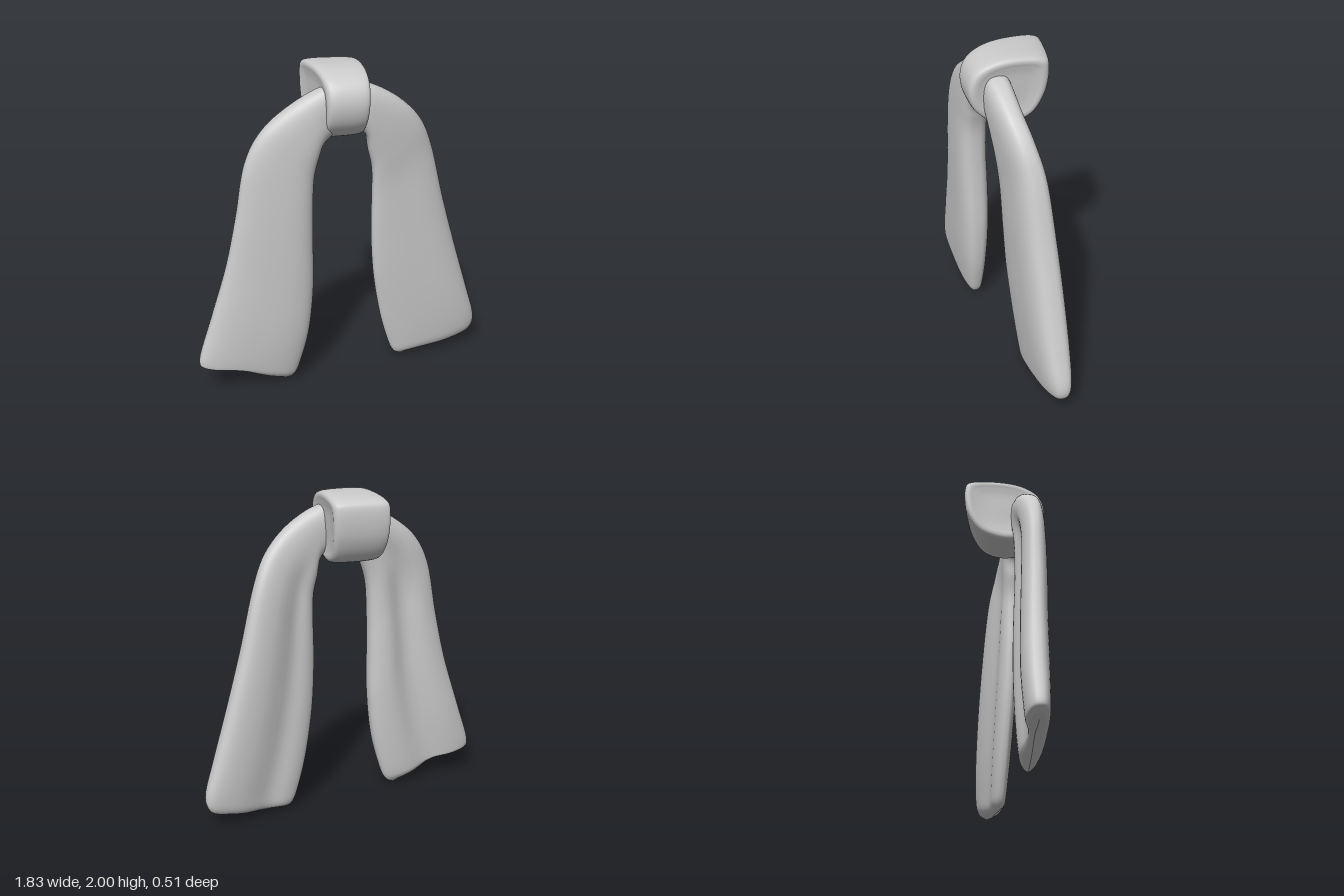
import * as THREE from 'three';

const material = new THREE.MeshStandardMaterial({ color: 0xcccccc });

// Smooth skin over closed rings: point(i, j) gives corner j of ring i
function loft(name, rings, sides, point, flip = false) {
  const pos = [], index = [];
  for (let i = 0; i < rings; i++) {
    for (let j = 0; j < sides; j++) {
      pos.push(...point(i / (rings - 1), j / sides));
      if (i === rings - 1) continue;
      const k = (j + 1) % sides;
      const a = i * sides + j, b = i * sides + k, c = a + sides, d = b + sides;
      if (flip) index.push(a, c, b, b, c, d);
      else index.push(a, b, c, b, d, c);
    }
  }
  const geo = new THREE.BufferGeometry();
  geo.setAttribute('position', new THREE.Float32BufferAttribute(pos, 3));
  geo.setIndex(index);
  geo.computeVertexNormals();
  const mesh = new THREE.Mesh(geo, material);
  mesh.name = name;
  return mesh;
}

const spline = (pts, closed = false) =>
  new THREE.CatmullRomCurve3(pts.map((p) => new THREE.Vector3(...p)), closed, 'catmullrom', 0.5);
const soft = (v, e) => Math.sign(v) * Math.abs(v) ** e;
const { lerp, smoothstep } = THREE.MathUtils;

// Hanging cloth. Each row: inner edge xyz, outer edge xyz, half thickness inner and outer
function tail(name, rows, { groove, grooveAt, hem, flip }) {
  const inner = spline(rows.map((r) => r.slice(0, 3)));
  const outer = spline(rows.map((r) => r.slice(3, 6)));
  const half = spline(rows.map((r) => [r[6], r[7], 0]));
  return loft(name, 91, 56, (v, s) => {
    const a = inner.getPoint(v), b = outer.getPoint(v), h = half.getPoint(v);
    const t = s * Math.PI * 2;
    const u = soft(Math.cos(t), 0.8) / 2 + 0.5;
    let depth = soft(Math.sin(t), 0.7) * Math.max(0, lerp(h.x, h.y, u));
    // Fold running down the back, fading in below the knot
    if (depth < 0) {
      depth *= 1 - groove * smoothstep(v, 0.1, 0.45) * Math.exp(-(((u - grooveAt) / 0.17) ** 2));
    }
    const p = a.lerp(b, u);
    // Curved hem
    const lift = hem * Math.exp(-(((u - 0.62) / 0.22) ** 2)) * smoothstep(v, 0.75, 1);
    return [p.x, p.y + lift, p.z + depth];
  }, flip);
}

// Wrapped band: side profile swept across x, rounded and slightly dished at both ends
function knot() {
  const profile = spline([
    [0, 1.92, -0.248], [0, 1.98, -0.2], [0, 2.0, -0.02], [0, 1.982, 0.12], [0, 1.925, 0.215],
    [0, 1.82, 0.25], [0, 1.7, 0.22], [0, 1.61, 0.13], [0, 1.572, 0], [0, 1.615, -0.145],
    [0, 1.75, -0.23],
  ], true);
  const half = [[0.93, 0], [0.93, 0.45], [0.97, 0.7], [1, 0.83], [0.96, 0.92], [0.82, 0.975], [0.4, 1]];
  const rows = [...half.map(([x, s]) => [-x, s, 0]), ...half.map(([x, s]) => [x, s, 0]).reverse()];
  const sweep = spline(rows);
  return loft('knot', 79, 72, (v, s) => {
    const r = sweep.getPoint(v), p = profile.getPoint(s);
    const y = 1.8 + (p.y - 1.8) * r.y, z = p.z * r.y;
    const back = (0.24 - z) / 0.48;
    const left = 0.122 + (y - 1.8) * 0.05;
    const right = lerp(-0.12, -0.205, back);
    // The back face slants forward towards the model's left
    const slant = 0.02 * r.x * smoothstep(back, 0.4, 1);
    return [lerp(right, left, (r.x + 1) / 2), y, z + slant];
  });
}

export function createModel() {
  const group = new THREE.Group();
  group.name = 'knottedScarf';

  group.add(knot());
  group.add(tail('leftTail', [
    [0.00, 1.66, 0.08, 0.00, 1.89, 0.08, 0.07, 0.08],
    [0.12, 1.60, 0.08, 0.13, 1.90, 0.08, 0.08, 0.085],
    [0.15, 1.48, 0.07, 0.32, 1.80, 0.06, 0.08, 0.085],
    [0.175, 1.36, 0.065, 0.47, 1.65, 0.02, 0.075, 0.09],
    [0.18, 1.20, 0.055, 0.56, 1.45, -0.02, 0.07, 0.10],
    [0.18, 0.95, 0.045, 0.65, 1.10, -0.045, 0.065, 0.115],
    [0.20, 0.65, 0.03, 0.75, 0.75, -0.065, 0.065, 0.12],
    [0.25, 0.35, 0.01, 0.85, 0.42, -0.08, 0.06, 0.115],
    [0.31, 0.13, -0.005, 0.91, 0.21, -0.09, 0.055, 0.095],
    [0.35, 0.04, -0.01, 0.89, 0.11, -0.09, 0.045, 0.065],
    [0.40, 0.01, -0.01, 0.81, 0.06, -0.08, 0, 0],
  ], { groove: 0.4, grooveAt: 0.32, hem: -0.01, flip: false }));
  group.add(tail('rightTail', [
    [0.00, 1.66, 0.08, 0.00, 1.89, 0.09, 0.07, 0.08],
    [-0.12, 1.58, 0.115, -0.13, 1.90, 0.115, 0.08, 0.085],
    [-0.16, 1.49, 0.125, -0.33, 1.80, 0.125, 0.09, 0.085],
    [-0.19, 1.36, 0.125, -0.50, 1.66, 0.14, 0.095, 0.08],
    [-0.20, 1.15, 0.125, -0.60, 1.47, 0.15, 0.10, 0.075],
    [-0.20, 0.95, 0.12, -0.66, 1.15, 0.148, 0.105, 0.08],
    [-0.20, 0.65, 0.115, -0.73, 0.83, 0.14, 0.105, 0.085],
    [-0.23, 0.35, 0.115, -0.83, 0.50, 0.135, 0.095, 0.09],
    [-0.29, 0.11, 0.11, -0.915, 0.23, 0.14, 0.075, 0.08],
    [-0.33, 0.03, 0.11, -0.89, 0.17, 0.14, 0.055, 0.06],
    [-0.38, 0.00, 0.11, -0.82, 0.14, 0.14, 0, 0],
  ], { groove: 0.6, grooveAt: 0.52, hem: 0.035, flip: true }));
  return group;
}
